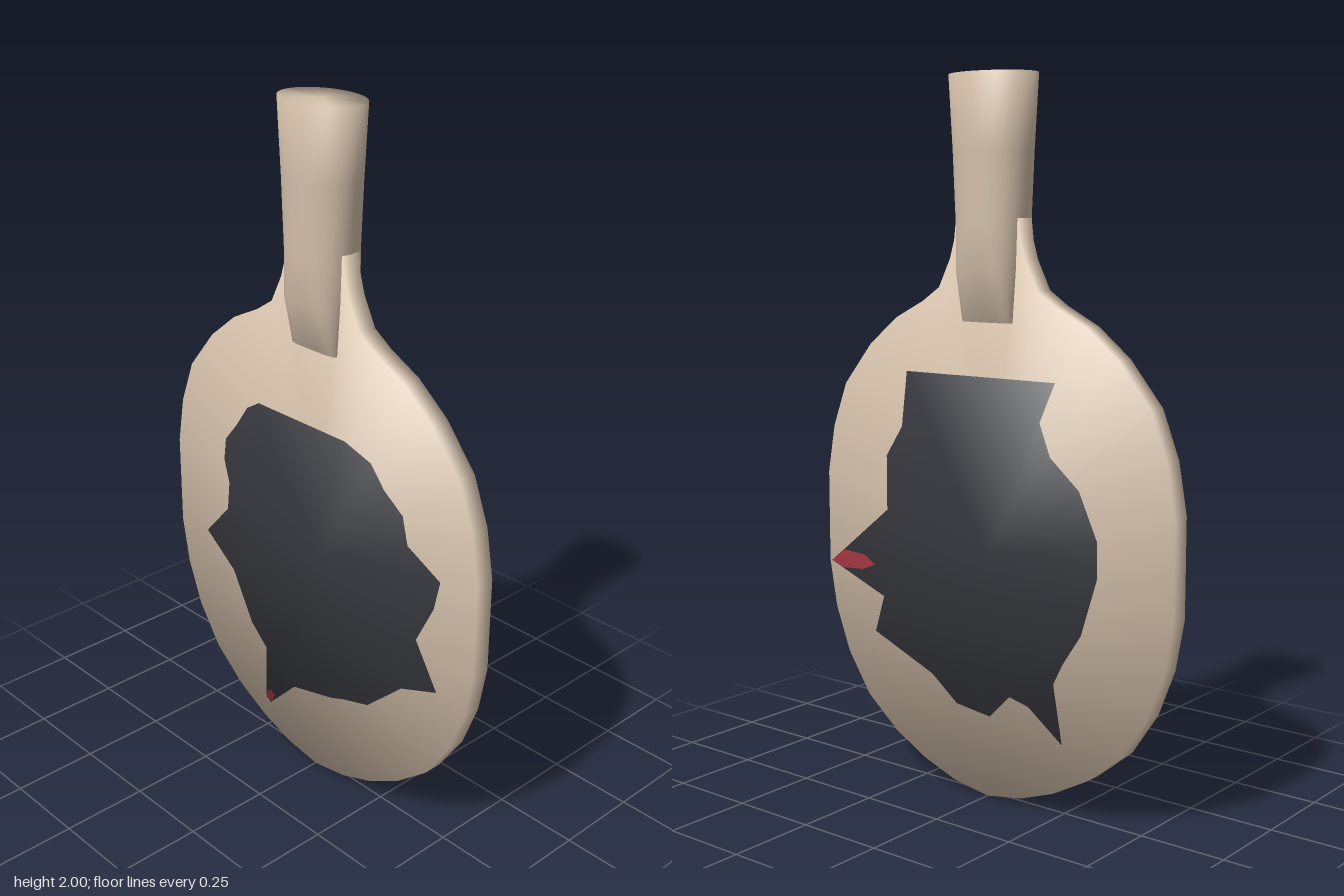
import * as THREE from 'three';

const wood = new THREE.MeshStandardMaterial({ color: 0xd3bfaa });
wood.name = 'pale wood';
const rubber = new THREE.MeshStandardMaterial({ color: 0x36373d });
rubber.name = 'dark rubber';
const red = new THREE.MeshStandardMaterial({ color: 0xb23c48 });
red.name = 'red mark';

const HALF = 0.028;       // half thickness of the blade
const CENTRE = [0, 0.7];  // middle of the blade

function makeGeometry(pos, nor, idx) {
  const g = new THREE.BufferGeometry();
  g.setAttribute('position', new THREE.Float32BufferAttribute(pos, 3));
  if (nor) g.setAttribute('normal', new THREE.Float32BufferAttribute(nor, 3));
  g.setIndex(idx);
  if (!nor) g.computeVertexNormals();
  return g;
}

// Normal leaning outwards from the blade centre, so faces and rim blend softly
function softNormal(x, y, zSign) {
  const v = new THREE.Vector3((x - CENTRE[0]) / 0.75, (y - CENTRE[1]) / 0.85, zSign);
  return v.normalize().toArray();
}

// Flat star-shaped face facing +z, built as a fan around a centre point
function fan(points, centre, z) {
  const pts = points.map(([x, y]) => new THREE.Vector2(x, y));
  if (THREE.ShapeUtils.isClockWise(pts)) pts.reverse();
  const pos = [], nor = [], idx = [], n = pts.length;
  [...pts, new THREE.Vector2(...centre)].forEach((p) => {
    pos.push(p.x, p.y, z);
    nor.push(...softNormal(p.x, p.y, 1));
  });
  for (let i = 0; i < n; i++) idx.push(n, i, (i + 1) % n);
  return makeGeometry(pos, nor, idx);
}

// Edge strip joining the two blade faces
function rim(points) {
  const pos = [], nor = [], idx = [], n = points.length;
  points.forEach(([x, y]) => {
    for (const s of [1, -1]) {
      pos.push(x, y, s * HALF);
      nor.push(...softNormal(x, y, s));
    }
  });
  for (let i = 0; i < n; i++) {
    const a = 2 * i, b = 2 * ((i + 1) % n);
    idx.push(a, a + 1, b, b, a + 1, b + 1);
  }
  return makeGeometry(pos, nor, idx);
}

// Closed loft through rounded sections [y, half width, half depth, roundness]
function loft(sections, sides) {
  const pos = [], idx = [];
  const bend = (v, p) => Math.sign(v) * Math.abs(v) ** p;
  sections.forEach(([y, w, d, p]) => {
    for (let i = 0; i < sides; i++) {
      const a = (i / sides) * Math.PI * 2;
      pos.push(w * bend(Math.cos(a), p), y, d * bend(Math.sin(a), p));
    }
  });
  const last = sections.length - 1, bottom = sections.length * sides, top = bottom + 1;
  pos.push(0, sections[0][0], 0, 0, sections[last][0], 0);
  for (let i = 0; i < sides; i++) {
    const j = (i + 1) % sides;
    for (let s = 0; s < last; s++) {
      const a = s * sides, b = a + sides;
      idx.push(a + i, b + i, a + j, a + j, b + i, b + j);
    }
    idx.push(bottom, i, j, top, last * sides + j, last * sides + i);
  }
  return makeGeometry(pos, null, idx);
}

export function createModel() {
  const model = new THREE.Group();
  model.name = 'paddle';
  const add = (name, geometry, material, back = false) => {
    const mesh = new THREE.Mesh(geometry, material);
    mesh.name = name;
    if (back) mesh.rotation.y = Math.PI;
    model.add(mesh);
  };

  // Blade outline: right half from the bottom up, then mirrored
  const half = [
    [0.12, 0.02], [0.23, 0.06], [0.34, 0.12], [0.45, 0.21], [0.53, 0.33], [0.58, 0.46],
    [0.605, 0.6], [0.605, 0.87], [0.58, 1.01], [0.53, 1.14], [0.43, 1.26], [0.33, 1.34],
    [0.23, 1.39], [0.17, 1.43], [0.13, 1.51], [0.115, 1.56], [0.108, 1.62],
  ];
  const outline = [[0, 0], ...half, ...half.map(([x, y]) => [-x, y]).reverse()];
  add('bladeFront', fan(outline, CENTRE, HALF), wood);
  add('bladeBack', fan(outline, CENTRE, HALF), wood, true);
  add('bladeRim', rim(outline), wood);

  // Handle: oval, flaring upwards, with a wedge-shaped lower end
  add('handle', loft([
    [1.34, 0.09, 0.04, 0.4], [1.48, 0.1, 0.085, 0.75], [1.6, 0.107, 0.089, 0.95],
    [1.8, 0.12, 0.092, 1], [2, 0.135, 0.095, 1],
  ], 32), wood);

  // Torn rubber sheets
  const frontRubber = [
    [-0.23, 1.11], [0.12, 1.11], [0.22, 1.08], [0.27, 1.02], [0.34, 0.97], [0.36, 0.89],
    [0.48, 0.83], [0.46, 0.74], [0.4, 0.62], [0.48, 0.49], [0.35, 0.44], [0.22, 0.32],
    [0.12, 0.29], [0.07, 0.27], [-0.09, 0.23], [-0.2, 0.12], [-0.22, 0.14], [-0.215, 0.31],
    [-0.28, 0.37], [-0.36, 0.52], [-0.48, 0.61], [-0.38, 0.72], [-0.37, 0.81],
    [-0.39, 0.88], [-0.38, 0.95], [-0.33, 1.01], [-0.28, 1.08],
  ];
  const backRubber = [
    [-0.29, 1.19], [0.23, 1.19], [0.18, 1.08], [0.215, 0.99], [0.31, 0.91], [0.37, 0.78],
    [0.37, 0.68], [0.32, 0.52], [0.26, 0.43], [0.23, 0.37], [0.26, 0.205], [0.145, 0.29],
    [0.08, 0.305], [0.01, 0.235], [-0.11, 0.25], [-0.2, 0.32], [-0.42, 0.41],
    [-0.386, 0.52], [-0.595, 0.6], [-0.37, 0.78], [-0.37, 0.94], [-0.31, 1.03],
  ];
  add('frontRubber', fan(frontRubber, CENTRE, HALF + 0.002), rubber);
  add('backRubber', fan(backRubber, CENTRE, HALF + 0.002), rubber, true);

  // Small red marks on the rubber tips
  const frontMark = [[-0.215, 0.13], [-0.19, 0.13], [-0.18, 0.155], [-0.195, 0.17], [-0.215, 0.155]];
  const backMark = [[-0.595, 0.6], [-0.545, 0.64], [-0.46, 0.635], [-0.42, 0.61], [-0.47, 0.59], [-0.545, 0.585]];
  add('frontMark', fan(frontMark, [-0.2, 0.15], HALF + 0.004), red);
  add('backMark', fan(backMark, [-0.51, 0.61], HALF + 0.004), red, true);

  return model;
}
